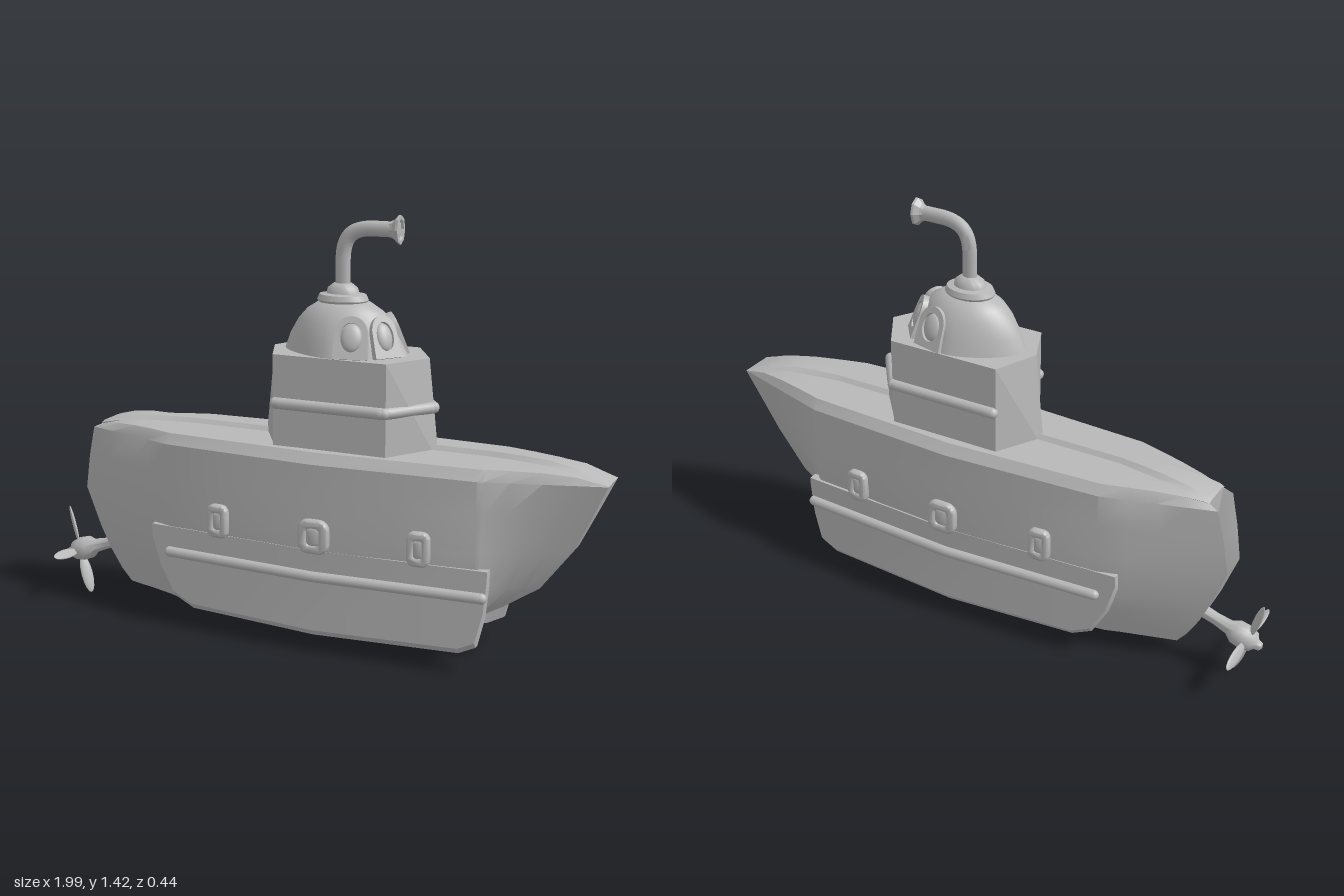
import * as THREE from 'three';
import { toCreasedNormals } from 'three/addons/utils/BufferGeometryUtils.js';

const grey = new THREE.MeshStandardMaterial({ color: 0xb8b8b8 });
grey.name = 'hull grey';

const V = (x, y, z) => new THREE.Vector3(x, y, z);
const lerp = THREE.MathUtils.lerp;

function add(parent, name, geometry, crease = 0.6) {
  const mesh = new THREE.Mesh(crease ? toCreasedNormals(geometry, crease) : geometry, grey);
  mesh.name = name;
  parent.add(mesh);
  return mesh;
}

// Skin through closed rings of points, capped at both ends
function loft(rings) {
  const n = rings[0].length, pos = [], idx = [];
  rings.forEach(r => r.forEach(p => pos.push(p.x, p.y, p.z)));
  for (let i = 0; i < rings.length - 1; i++) for (let j = 0; j < n; j++) {
    const a = i * n + j, b = i * n + (j + 1) % n, c = b + n, d = a + n;
    idx.push(a, d, c, a, c, b);
  }
  [0, rings.length - 1].forEach((r, end) => {
    const mid = rings[r].reduce((s, p) => s.add(p), V(0, 0, 0)).divideScalar(n);
    const m = pos.length / 3;
    pos.push(mid.x, mid.y, mid.z);
    for (let j = 0; j < n; j++) {
      const a = r * n + j, b = r * n + (j + 1) % n;
      if (end) idx.push(m, b, a); else idx.push(m, a, b);
    }
  });
  const g = new THREE.BufferGeometry();
  g.setAttribute('position', new THREE.Float32BufferAttribute(pos, 3));
  g.setIndex(idx);
  return g;
}

// Half width of the hull along its middle
const beam = x => (x < 0.08 ? lerp(0.168, 0.2, (x + 0.46) / 0.54) : lerp(0.2, 0.17, (x - 0.08) / 0.54));

// Straight tube through a few points
function rail(points, radius) {
  const path = new THREE.CurvePath();
  for (let i = 0; i < points.length - 1; i++) path.add(new THREE.LineCurve3(points[i], points[i + 1]));
  return new THREE.TubeGeometry(path, 60, radius, 10);
}

function hullGeometry() {
  // y, stern x, stern width, aft chine width, middle width, fore chine width, bow x, bow width
  const levels = [
    [0.068, -0.60, 0.02, 0.08, 0.15, 0.03, 0.36, 0.01],
    [0.085, -0.70, 0.03, 0.10, 0.18, 0.05, 0.46, 0.02],
    [0.13, -0.735, 0.035, 0.115, 0.195, 0.09, 0.56, 0.03],
    [0.2, -0.775, 0.04, 0.14, 0.198, 0.12, 0.67, 0.03],
    [0.28, -0.81, 0.045, 0.162, 0.199, 0.15, 0.79, 0.028],
    [0.42, -0.86, 0.05, 0.168, 0.2, 0.17, 0.895, 0.03],
    [0.54, -0.84, 0.055, 0.168, 0.2, 0.17, 0.952, 0.045],
    [0.645, -0.815, 0.06, 0.168, 0.2, 0.17, 1.0, 0.06],
  ];
  const steps = [0, 0.05, 0.25, 0.5, 0.75, 1];
  const stations = [...steps.map(t => [0, t]), [1, 0.5], [1, 1], [2, 0.5], [2, 1], ...steps.slice(1).map(t => [3, t])];
  return loft(stations.map(([span, t]) => {
    const side = levels.map(([y, sx, sw, aw, mw, fw, bx, bw]) => {
      const xs = [sx, -0.46, 0.08, Math.min(0.62, bx - 0.06), bx];
      const ws = [sw, aw, mw, fw, bw];
      const hollow = span === 3 ? 0.05 * Math.max(0, 0.6 - y) * Math.sin(t * Math.PI) : 0;
      return V(lerp(xs[span], xs[span + 1], t), y, lerp(ws[span], ws[span + 1], t) - hollow);
    });
    // Bevelled deck with a ridge that narrows towards the tower
    const e = side[side.length - 1];
    const end = span === 0 ? 1 - t : span === 3 ? t : 0;
    const rise = 0.058 * (1 - Math.pow(end, 4) * (span === 3 ? 1 : 0.6));
    const ridge = Math.min(e.z * 0.8, 0.012 + 0.05 * end);
    const x = e.x + (span === 0 ? 0.03 * (1 - t) : 0);
    side.push(V(x, e.y + rise * 0.6, e.z * 0.88), V(x, e.y + rise * 0.75, ridge + 0.01), V(x, e.y + rise, ridge * 0.8));
    return [...side, ...side.map(p => V(p.x, p.y, -p.z)).reverse()];
  }));
}

// Side walls that stand proud of the tapering bow and stern
function bilgeGeometry(s) {
  const profile = [[-0.53, 0.3], [-0.5, 0.2], [-0.45, 0.11], [-0.38, 0.077], [0.08, 0.066],
    [0.57, 0.074], [0.625, 0.1], [0.65, 0.2], [0.66, 0.31]];
  return loft(profile.map(([x, yb]) => {
    const w = beam(x) + 0.001;
    const inner = Math.max(0, w - 0.03 - 0.17 * (1 - Math.min(1, Math.abs(x - 0.08) / 0.56)));
    const ring = [V(x, yb, w - 0.015), V(x, yb + 0.02, w), V(x, 0.36, w), V(x, 0.36, inner), V(x, yb, inner)];
    return s > 0 ? ring : ring.map(p => V(p.x, p.y, -p.z)).reverse();
  }));
}

function roundedShape(w, h, r) {
  const s = new THREE.Shape();
  [[w - r, h - r, 0], [r - w, h - r, 1], [r - w, r - h, 2], [w - r, r - h, 3]].forEach(([x, y, q]) =>
    s.absarc(x, y, r, q * Math.PI / 2, (q + 1) * Math.PI / 2, false));
  return s;
}

function porthole(parent, x, s, width) {
  const g = new THREE.Group();
  g.name = 'porthole';
  const frame = roundedShape(width, 0.05, width * 0.6);
  frame.holes.push(roundedShape(width * 0.62, 0.035, width * 0.4));
  const bevel = { bevelEnabled: true, bevelThickness: 0.008, bevelSize: 0.007, bevelSegments: 2, curveSegments: 6 };
  add(g, 'portholeFrame', new THREE.ExtrudeGeometry(frame, { depth: 0.012, ...bevel }), 0.8);
  add(g, 'portholeGlass', new THREE.ExtrudeGeometry(roundedShape(width * 0.42, 0.025, width * 0.3),
    { depth: 0.008, ...bevel }), 0.8);
  g.position.set(x, 0.41, s * (beam(x) + 0.002));
  const slope = x < 0 ? -0.06 : x > 0.2 ? 0.056 : 0;
  g.rotation.y = s > 0 ? slope : Math.PI - slope;
  parent.add(g);
}

function cabinWindow(parent, p, normal, width) {
  const g = new THREE.Group();
  g.name = 'cabinWindow';
  const arch = new THREE.Shape();
  arch.moveTo(-width * 1.55, -0.07);
  arch.lineTo(width * 1.55, -0.07);
  arch.lineTo(width * 1.45, 0.02);
  arch.quadraticCurveTo(width * 1.2, 0.065, 0, 0.068);
  arch.quadraticCurveTo(-width * 1.2, 0.065, -width * 1.45, 0.02);
  const hole = new THREE.Path();
  hole.absellipse(0, 0, width, 0.047, 0, Math.PI * 2, true);
  arch.holes.push(hole);
  add(g, 'windowFrame', new THREE.ExtrudeGeometry(arch, { depth: 0.025, bevelEnabled: false, curveSegments: 12 })
    .translate(0, 0, -0.015));
  const glass = add(g, 'windowGlass', new THREE.SphereGeometry(1, 20, 12), 0);
  glass.scale.set(width * 0.95, 0.045, 0.016);
  g.position.copy(p);
  g.lookAt(p.clone().add(normal));
  parent.add(g);
}

export function createModel() {
  const model = new THREE.Group();
  model.name = 'submarine';
  model.rotation.y = 0.02;

  add(model, 'hull', hullGeometry(), 0.5);
  for (const s of [1, -1]) {
    add(model, 'bilgeWall', bilgeGeometry(s), 0.5);
    const line = [-0.46, 0.08, 0.645].map(x => V(x, 0.272, s * (beam(x) + 0.004)));
    add(model, 'sideRail', rail(line, 0.018), 0.8);
    for (const p of [line[0], line[2]]) add(model, 'railEnd', new THREE.SphereGeometry(0.018, 10, 8), 0).position.copy(p);
    [[-0.265, 0.031], [0.09, 0.046], [0.44, 0.031]].forEach(([x, w]) => porthole(model, x, s, w));
  }

  // Conning tower, narrowing fore and aft towards the top
  const plan = [[0.43, 0], [0.31, 0.148], [-0.08, 0.148], [-0.172, 0], [-0.08, -0.148], [0.31, -0.148]];
  add(model, 'tower', loft([[0.64, 1.02], [0.98, 0.9]].map(([y, k]) =>
    plan.map(([x, z]) => V(0.115 + (x - 0.115) * (Math.abs(z) > 0 ? 1 : k), y, z)))), 0.1);
  const band = [[-0.07, 0.15], [0.305, 0.15], [0.415, 0], [0.305, -0.15], [-0.07, -0.15]].map(([x, z]) => V(x, 0.822, z));
  add(model, 'towerBand', rail(band, 0.019), 0.8);
  for (const p of band) add(model, 'bandJoint', new THREE.SphereGeometry(0.019, 10, 8), 0).position.copy(p);

  // Cabin dome: pointed oval at the base, rounder at the top
  const dome = [[0.97, -0.105, 0.33, 0.145, 1.3], [1.03, -0.082, 0.295, 0.128, 1.25], [1.08, -0.052, 0.265, 0.11, 1.15],
    [1.115, -0.02, 0.235, 0.088, 1.05], [1.14, 0.02, 0.195, 0.062, 1], [1.15, 0.06, 0.14, 0.03, 1]];
  const power = (v, e) => Math.sign(v) * Math.pow(Math.abs(v), e);
  add(model, 'cabinDome', loft(dome.map(([y, x0, x1, rz, e]) => Array.from({ length: 40 }, (_, i) => {
    const a = i / 40 * Math.PI * 2;
    return V((x0 + x1) / 2 + (x1 - x0) / 2 * power(Math.cos(a), e), y, rz * power(Math.sin(a), e));
  }))), 0.7);
  for (const s of [1, -1]) {
    cabinWindow(model, V(0.175, 1.045, s * 0.108), V(0.22, 0.33, s * 0.9), 0.036);
    cabinWindow(model, V(0.262, 1.045, s * 0.05), V(0.72, 0.36, s * 0.55), 0.03);
  }

  // Periscope with collar, bent pipe and flared eyepiece
  const scope = new THREE.Group();
  scope.name = 'periscope';
  scope.position.x = 0.1;
  scope.scale.z = 0.76;
  model.add(scope);
  const collar = [[0, 1.13], [0.075, 1.13], [0.086, 1.147], [0.078, 1.164], [0.055, 1.168], [0.05, 1.185], [0.03, 1.2], [0, 1.2]];
  add(scope, 'periscopeCollar', new THREE.LatheGeometry(collar.map(p => new THREE.Vector2(...p)), 28), 0.7);
  const pipe = new THREE.CurvePath();
  pipe.add(new THREE.LineCurve3(V(0, 1.17, 0), V(0, 1.27, 0)));
  pipe.add(new THREE.CubicBezierCurve3(V(0, 1.27, 0), V(0, 1.35, 0), V(0.03, 1.378, 0), V(0.11, 1.378, 0)));
  pipe.add(new THREE.LineCurve3(V(0.11, 1.378, 0), V(0.17, 1.378, 0)));
  add(scope, 'periscopePipe', new THREE.TubeGeometry(pipe, 40, 0.025, 14), 0.9);
  const flare = [[0, 0], [0.024, 0], [0.03, 0.015], [0.046, 0.03], [0.047, 0.038], [0.034, 0.038], [0.03, 0.03], [0, 0.034]];
  const eye = add(scope, 'periscopeEye', new THREE.LatheGeometry(flare.map(p => new THREE.Vector2(...p)), 8), 0.3);
  eye.rotation.z = -Math.PI / 2;
  eye.position.set(0.158, 1.378, 0);

  // Propeller on a sloping shaft
  const prop = new THREE.Group();
  prop.name = 'propeller';
  prop.position.set(-0.93, 0.162, 0);
  prop.rotation.z = Math.PI / 2 + 0.32;
  model.add(prop);
  const hub = [[0, -0.2], [0.022, -0.2], [0.02, -0.12], [0.024, -0.07], [0.04, -0.045], [0.042, -0.01], [0.034, 0.02],
    [0.018, 0.032], [0.014, 0.048], [0, 0.054]];
  add(prop, 'shaftAndHub', new THREE.LatheGeometry(hub.map(p => new THREE.Vector2(...p)), 20), 0.8);
  for (let i = 0; i < 4; i++) {
    const arm = new THREE.Group();
    arm.name = 'propellerBlade';
    arm.rotation.y = i * Math.PI / 2 + 0.1;
    const blade = add(arm, 'blade', new THREE.SphereGeometry(1, 16, 12), 0);
    blade.scale.set(0.07, 0.007, 0.021);
    blade.position.x = 0.092;
    blade.rotation.x = 0.7;
    prop.add(arm);
  }
  return model;
}
